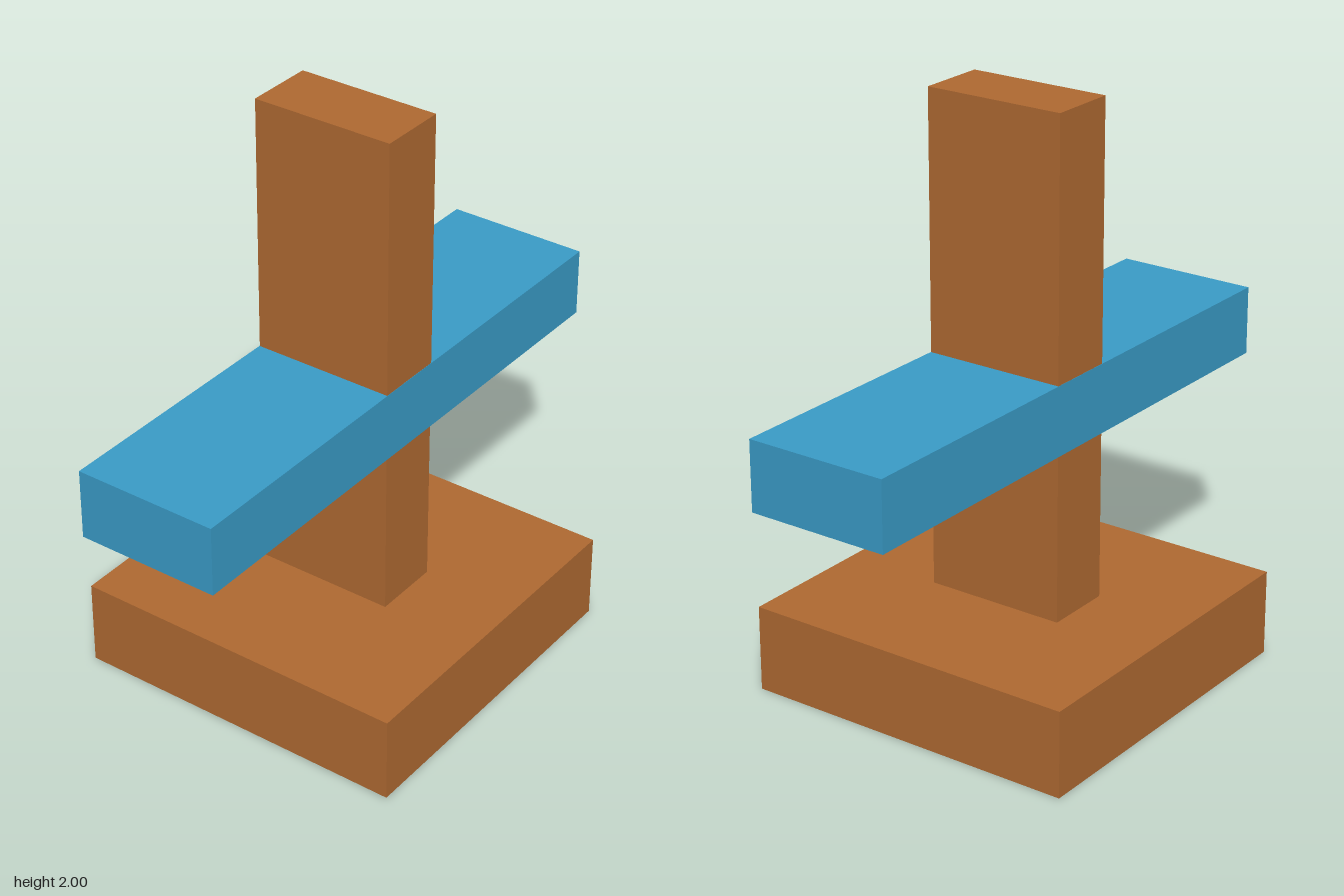
import * as THREE from 'three';

const brown = new THREE.MeshStandardMaterial({ color: 0xb06a32 });
const blue = new THREE.MeshStandardMaterial({ color: 0x3a9cc8 });

// Box centred on x and z, with its underside at the given height
function block(name, width, height, depth, bottom, material) {
  const mesh = new THREE.Mesh(new THREE.BoxGeometry(width, height, depth), material);
  mesh.name = name;
  mesh.position.y = bottom + height / 2;
  return mesh;
}

export function createModel() {
  const model = new THREE.Group();
  model.name = 'crossOnBase';
  model.add(
    block('base', 1.2, 0.3, 1.2, 0, brown),
    block('post', 0.24, 1.7, 0.5, 0.3, brown),
    // A hair deeper than the post, so their faces do not flicker where they cross
    block('crossbar', 2, 0.24, 0.502, 0.88, blue),
  );
  return model;
}
